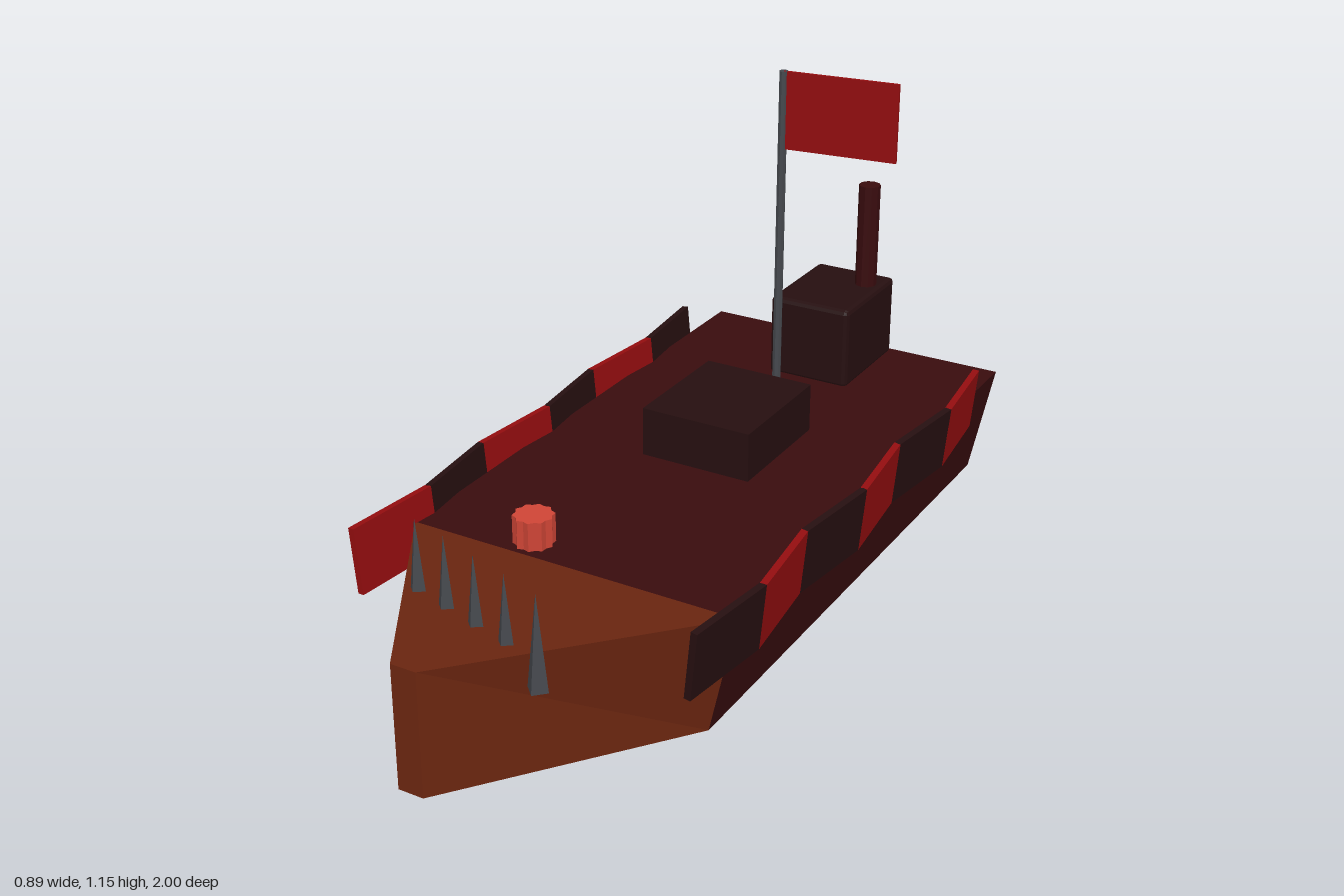
import * as THREE from 'three';
import { RoundedBoxGeometry } from 'three/addons/geometries/RoundedBoxGeometry.js';

function paint(name, color) {
  const m = new THREE.MeshStandardMaterial({ color });
  m.name = name;
  return m;
}

// Four-cornered sections {z, bottom, top, yBottom, yTop} joined from stern to bow
function hullGeometry(back, front) {
  const corners = (s) => [
    [-s.bottom, s.yBottom, s.zBottom], [s.bottom, s.yBottom, s.zBottom],
    [s.top, s.yTop, s.zTop], [-s.top, s.yTop, s.zTop],
  ];
  const a = corners(back), b = corners(front), pos = [];
  const quad = (p, q, r, s) => pos.push(...p, ...q, ...r, ...p, ...r, ...s);
  for (let i = 0; i < 4; i++) {
    const j = (i + 1) % 4;
    quad(a[i], a[j], b[j], b[i]);
  }
  quad(a[3], a[2], a[1], a[0]);
  quad(b[0], b[1], b[2], b[3]);
  const g = new THREE.BufferGeometry();
  g.setAttribute('position', new THREE.Float32BufferAttribute(pos, 3));
  g.computeVertexNormals();
  return g;
}

export function createModel() {
  const group = new THREE.Group();
  const maroon = paint('maroon hull', 0x390c0e);
  const brown = paint('rust brown', 0x6c2610);
  const dark = paint('dark brown', 0x260f10);
  const red = paint('red', 0x940d0f);
  const steel = paint('steel grey', 0x45484d);
  const coral = paint('coral red', 0xcf4536);
  for (const m of [maroon, brown, dark, red, steel, coral]) m.flatShading = true;

  const add = (name, geometry, material, x = 0, y = 0, z = 0) => {
    const mesh = new THREE.Mesh(geometry, material);
    mesh.name = name;
    mesh.position.set(x, y, z);
    group.add(mesh);
    return mesh;
  };

  // Hull and raised bow
  const stern = { bottom: 0.35, top: 0.41, yBottom: 0, yTop: 0.288, zBottom: -1, zTop: -1 };
  const middle = { ...stern, zBottom: 0.43, zTop: 0.42 };
  const stem = { bottom: 0.03, top: 0.03, yBottom: 0.07, yTop: 0.36, zBottom: 1, zTop: 1 };
  add('hull', hullGeometry(stern, middle), maroon);
  add('bow', hullGeometry(middle, stem), brown);

  // Zigzag shield panels, alternating in colour along each side
  const panel = new THREE.BoxGeometry(0.016, 0.16, 0.245);
  for (const side of [1, -1]) {
    for (let i = 0; i < 6; i++) {
      const even = (i % 2 === 0) === (side === 1);
      const mesh = add(side > 0 ? 'leftShieldPanel' : 'rightShieldPanel', panel,
        even ? dark : red, side * 0.418, 0.273, 0.485 - i * 0.242);
      mesh.rotation.set(0, even ? -0.11 * 1 : 0.11, -side * 0.095, 'ZYX');
      // dark panels lean in towards the bow, red ones lean out
      mesh.rotation.y = side * (even ? -0.11 : 0.11);
    }
  }

  // Cabin, funnel and hatch
  add('cabin', new RoundedBoxGeometry(0.22, 0.215, 0.284, 1, 0.012), dark, 0, 0.388, -0.857);
  add('funnel', new THREE.CylinderGeometry(0.028, 0.028, 0.3, 10), maroon, 0.064, 0.618, -0.918);
  add('hatch', new THREE.BoxGeometry(0.284, 0.13, 0.32), dark, 0, 0.345, -0.285);

  // Flagpole and flag
  add('flagpole', new THREE.CylinderGeometry(0.011, 0.011, 0.87, 8), steel, 0, 0.715, -0.54);
  const flag = add('flag', new THREE.BoxGeometry(0.284, 0.19, 0.008), red, 0.142, 1.055, -0.555);
  flag.rotation.y = 0.11;

  // Row of four-sided spikes set slantwise across the bow
  const spike = new THREE.ConeGeometry(0.025, 0.216, 4);
  for (let i = 0; i < 5; i++) {
    add('bowSpike', spike, steel, -0.19 + i * 0.095, 0.383, 0.7 + i * 0.0315);
  }

  // Fluted drum hovering over the bow
  const outline = [];
  for (let i = 0; i < 20; i++) {
    const r = i % 2 ? 0.039 : 0.045, a = (i * Math.PI) / 10;
    outline.push(new THREE.Vector2(r * Math.cos(a), r * Math.sin(a)));
  }
  const drum = new THREE.ExtrudeGeometry(new THREE.Shape(outline), { depth: 0.065, bevelEnabled: false });
  drum.rotateX(-Math.PI / 2);
  add('drum', drum, coral, 0, 0.415, 0.548);

  return group;
}
